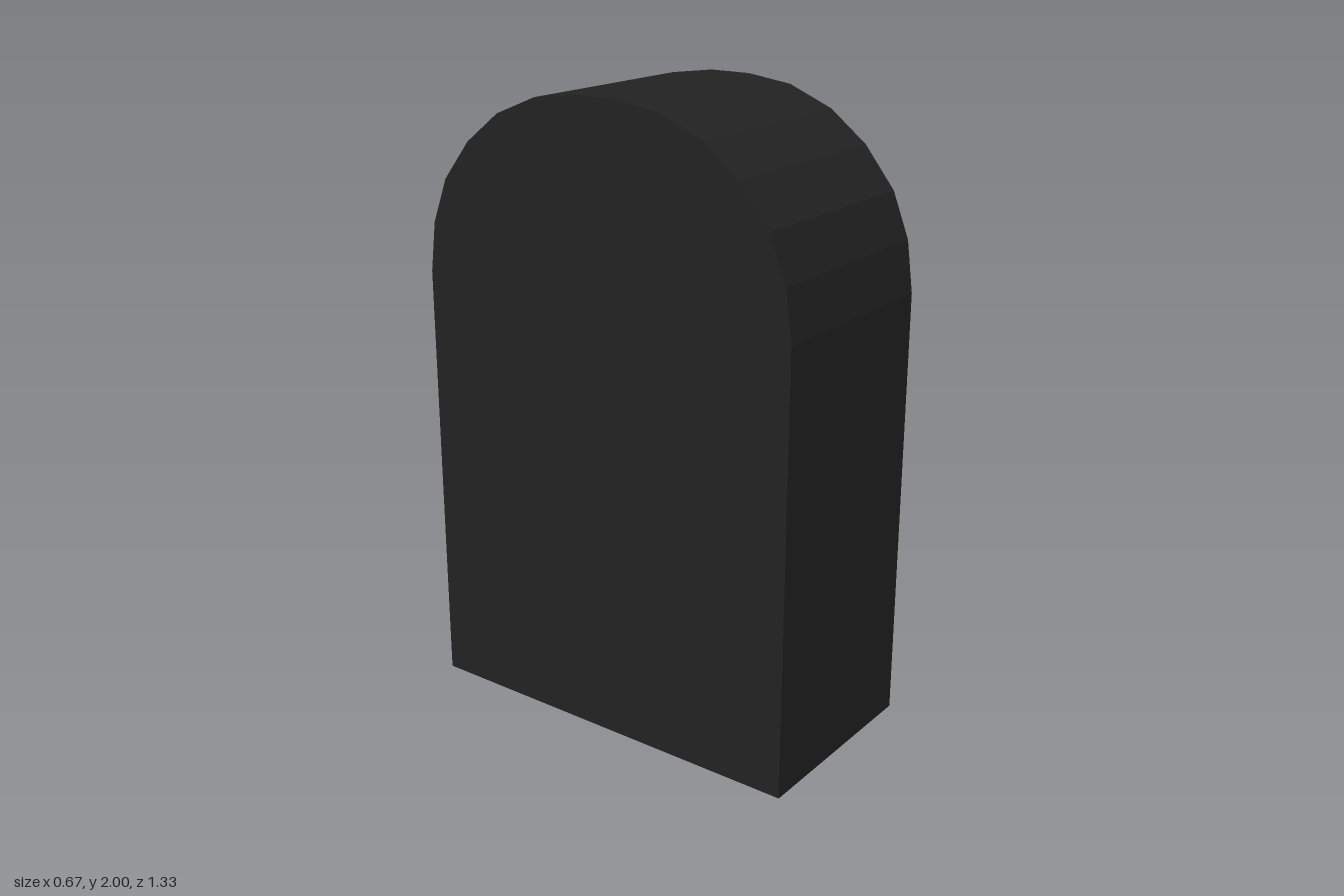
import * as THREE from 'three';

// Half arches as [z, y], from the springing line to the crown
const OUTER = [[0.667, 1.4], [0.645, 1.56], [0.59, 1.7], [0.49, 1.825], [0.367, 1.92], [0.22, 1.98], [0.07, 2]];
const INNER = [[0.577, 1.4], [0.558, 1.535], [0.508, 1.655], [0.424, 1.763], [0.32, 1.842], [0.2, 1.892], [0.075, 1.91]];

// Closed arch outline, mirrored about the centre line
function archPoints(half, bottom) {
  const right = [[half[0][0], bottom], ...half];
  const left = right.map(([u, y]) => [-u, y]).reverse();
  return [...right, ...left].map(([u, y]) => new THREE.Vector2(u, y));
}

export function createModel() {
  const black = new THREE.MeshStandardMaterial({ color: 0x222222 });
  black.name = 'black casing';
  const gold = new THREE.MeshStandardMaterial({ color: 0xc8a45c });
  gold.name = 'gold panel';

  const model = new THREE.Group();
  model.name = 'archedBox';
  const halfWidth = 0.333, recess = 0.093;

  // Places a profile in the z-y plane, facing +x
  const add = (name, geometry, material, x) => {
    geometry.rotateY(Math.PI / 2).translate(x, 0, 0);
    const mesh = new THREE.Mesh(geometry, material);
    mesh.name = name;
    model.add(mesh);
  };

  // Solid arched casing behind the recess
  const bodyShape = new THREE.Shape(archPoints(OUTER, 0));
  add('casing', new THREE.ExtrudeGeometry(bodyShape, { depth: 2 * halfWidth - recess, bevelEnabled: false }), black, -halfWidth);

  // Raised rim around the recess
  const rimShape = new THREE.Shape(archPoints(OUTER, 0));
  rimShape.holes.push(new THREE.Path(archPoints(INNER, 0.095)));
  add('rim', new THREE.ExtrudeGeometry(rimShape, { depth: recess, bevelEnabled: false }), black, halfWidth - recess);

  // Inset face panel
  const panelShape = new THREE.Shape(archPoints(INNER, 0.095));
  add('panel', new THREE.ShapeGeometry(panelShape), gold, halfWidth - recess + 0.003);

  return model;
}
